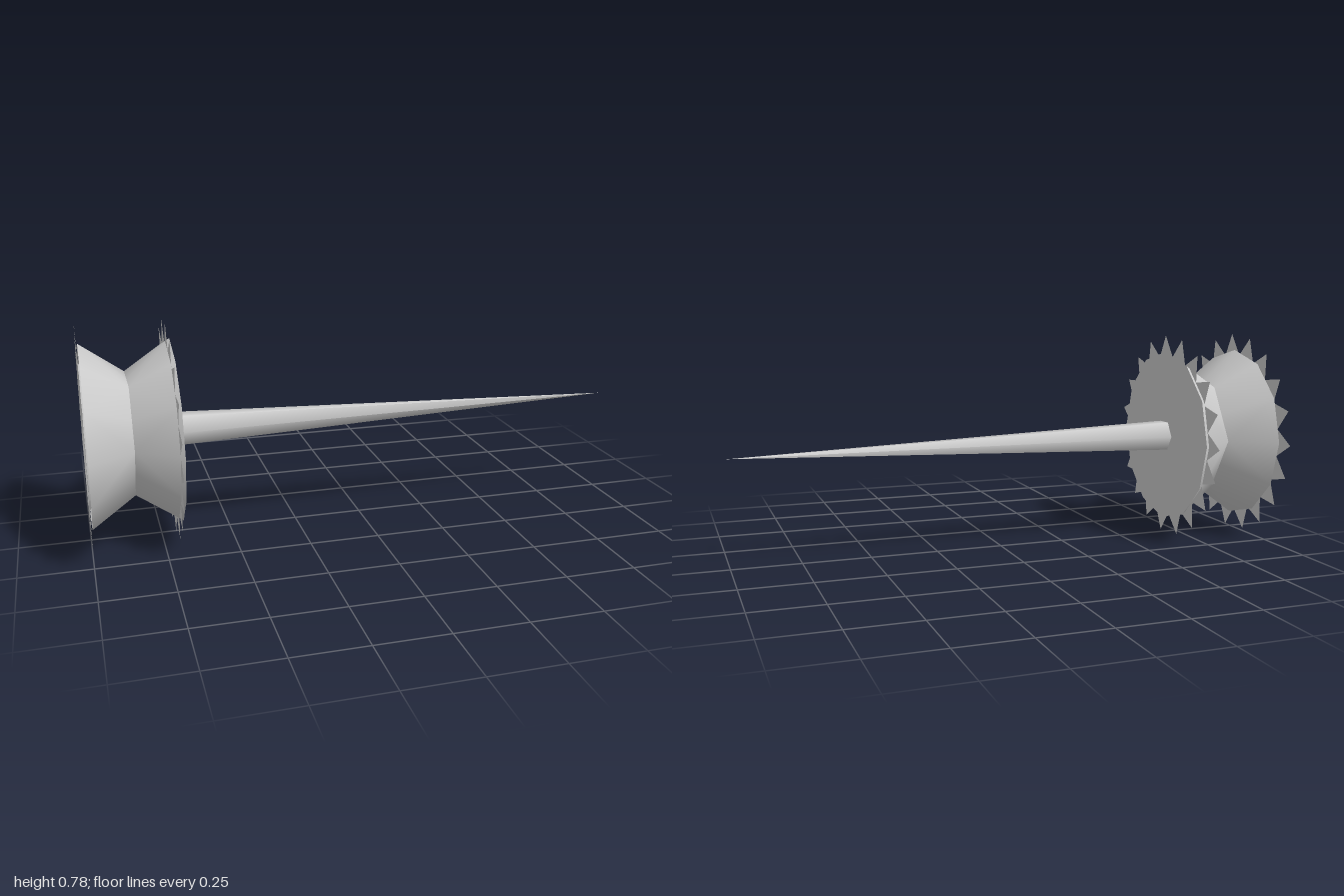
import * as THREE from 'three';

const grey = new THREE.MeshStandardMaterial({ color: 0xcccccc, side: THREE.DoubleSide });
const AXIS_Y = 0.392;

function add(group, name, geometry, x = 0) {
  const mesh = new THREE.Mesh(geometry, grey);
  mesh.name = name;
  mesh.position.set(x, AXIS_Y, 0);
  group.add(mesh);
}

// Smooth 12-segment band around the x axis; a ring is { x, r, hex }.
// A hex ring puts every second point on the middle of a hexagon's side.
function band(a, b) {
  const points = [], index = [], n = 12;
  for (const ring of [a, b]) {
    for (let i = 0; i < n; i++) {
      const angle = (i / n) * Math.PI * 2;
      const r = ring.hex && i % 2 ? ring.r * Math.cos(Math.PI / 6) : ring.r;
      points.push(ring.x, r * Math.sin(angle), r * Math.cos(angle));
    }
  }
  for (let i = 0; i < n; i++) {
    const j = (i + 1) % n;
    const fromSecond = (i % 2 === 0) === !!b.hex;
    if (fromSecond) index.push(i, n + i, j, j, n + i, n + j);
    else index.push(i, n + i, n + j, i, n + j, j);
  }
  const g = new THREE.BufferGeometry();
  g.setAttribute('position', new THREE.Float32BufferAttribute(points, 3));
  g.setIndex(index);
  g.computeVertexNormals();
  return g;
}

// Flat ring with 19 pointed teeth, lying in the yz plane
function toothedRing() {
  const teeth = 19, step = (Math.PI * 2) / teeth, start = THREE.MathUtils.degToRad(-4.4);
  const polar = (r, a) => new THREE.Vector2(r * Math.sin(a), r * Math.cos(a));
  const outline = [], hole = [];
  for (let i = 0; i < teeth; i++) {
    const a = start + i * step;
    outline.push(polar(0.393, a), polar(0.312, a + step / 2));
  }
  for (let i = 0; i < 12; i++) hole.push(polar(0.265, (i / 12) * Math.PI * 2));
  const shape = new THREE.Shape(outline);
  shape.holes.push(new THREE.Path(hole));
  return new THREE.ShapeGeometry(shape).rotateY(Math.PI / 2);
}

// Six-sided rod along x
function rod(rEnd, rStart, x0, x1) {
  return new THREE.CylinderGeometry(rEnd, rStart, x1 - x0, 6)
    .rotateZ(-Math.PI / 2)
    .translate((x0 + x1) / 2, 0, 0);
}

export function createModel() {
  const model = new THREE.Group();
  model.name = 'spikedSpool';

  // Spool: two flares meeting at a hexagonal waist, closed at the spike end
  const rim = { x: -0.995, r: 0.33 };
  const waist = { x: -0.84, r: 0.225, hex: true };
  const face = { x: -0.685, r: 0.33 };
  add(model, 'outerFlare', band(rim, waist));
  add(model, 'innerFlare', band(waist, face));
  add(model, 'spoolFace', new THREE.CircleGeometry(face.r, 12).rotateY(Math.PI / 2), face.x);

  // Hollow end with a hub in the middle
  add(model, 'hollow', band({ x: -0.86, r: 0.06, hex: true }, { x: -1, r: 0.265 }));
  add(model, 'hub', rod(0.062, 0.062, -0.96, -0.84));

  // Toothed rings
  add(model, 'outerTeeth', toothedRing(), -1);
  add(model, 'innerTeeth', toothedRing(), -0.7);

  // Long spike
  add(model, 'spike', rod(0, 0.062, -0.69, 1));
  return model;
}
